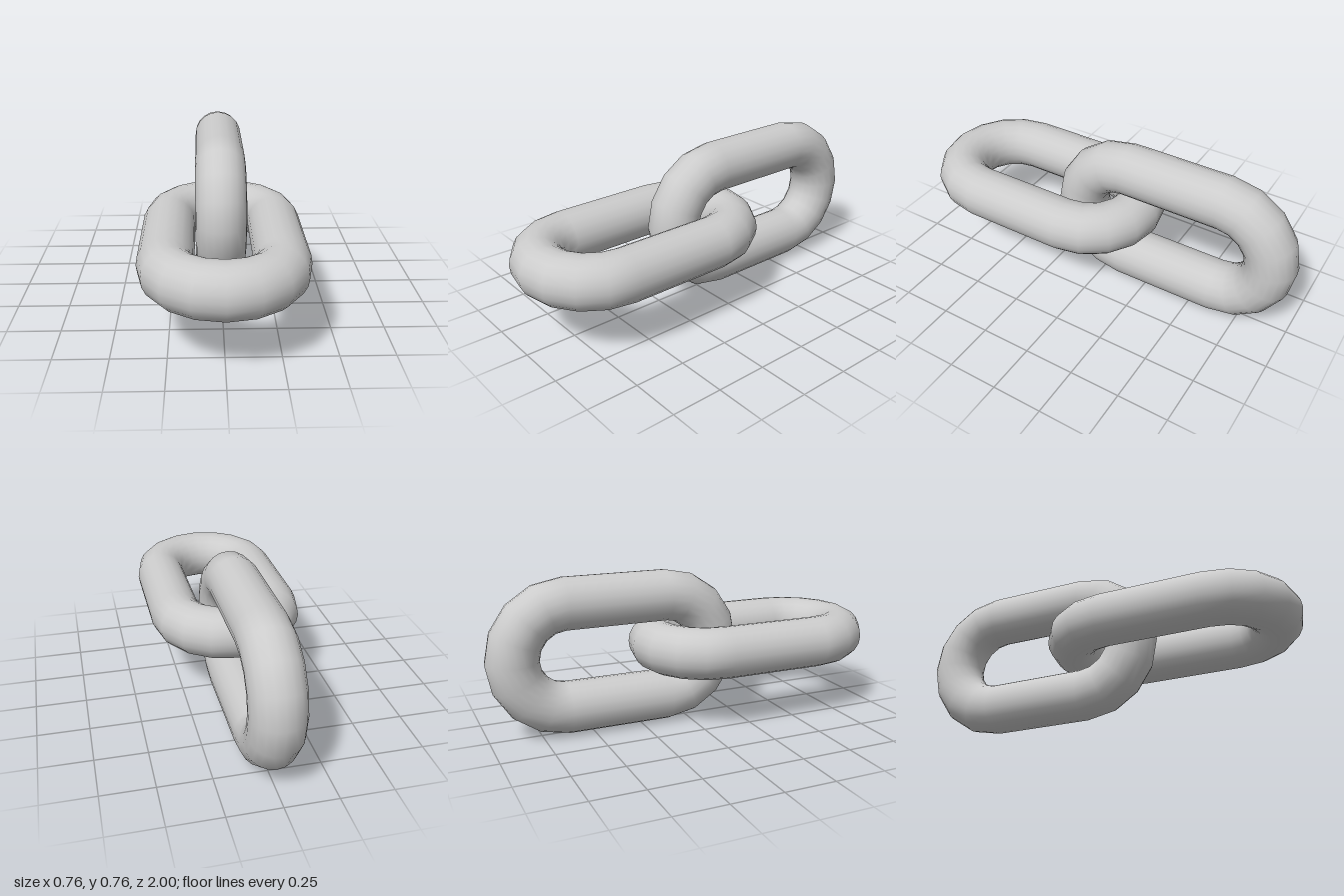
import * as THREE from 'three';

const BEND = 0.2555;    // centreline radius of the rounded ends
const WIRE = 0.127;     // radius of the bar
const HALF = 0.255;     // half length of the straight sides
const SIDES = 20;       // sides around the bar
const STEPS = 8;        // steps around each rounded end

const material = new THREE.MeshStandardMaterial({ color: 0xcccccc });

function addPart(parent, name, geometry) {
  const mesh = new THREE.Mesh(geometry, material);
  mesh.name = name;
  parent.add(mesh);
}

// One link lying in its local XY plane, long axis along y
function createLink(name) {
  const link = new THREE.Group();
  link.name = name;
  for (const s of [1, -1]) {
    // Rounded end
    const end = new THREE.TorusGeometry(BEND, WIRE, SIDES, STEPS, Math.PI);
    if (s < 0) end.rotateZ(Math.PI);
    end.translate(0, s * HALF, 0);
    addPart(link, s > 0 ? 'roundedEndA' : 'roundedEndB', end);

    // Straight side
    const bar = new THREE.CylinderGeometry(WIRE, WIRE, HALF * 2, SIDES, 1, true);
    bar.translate(s * BEND, 0, 0);
    addPart(link, s > 0 ? 'straightSideA' : 'straightSideB', bar);
  }
  return link;
}

export function createModel() {
  const chain = new THREE.Group();
  chain.name = 'chainLinks';
  const height = BEND + WIRE;
  const offset = 1 - HALF - BEND - WIRE;

  // Flat link at the front
  const front = createLink('frontLink');
  front.rotation.set(Math.PI / 2, 0, 0);
  front.position.set(0, height, offset);

  // Upright link at the back, threaded through the front one
  const back = createLink('backLink');
  back.rotation.set(Math.PI / 2, Math.PI / 2, 0);
  back.position.set(0, height, -offset);

  chain.add(front, back);
  return chain;
}
